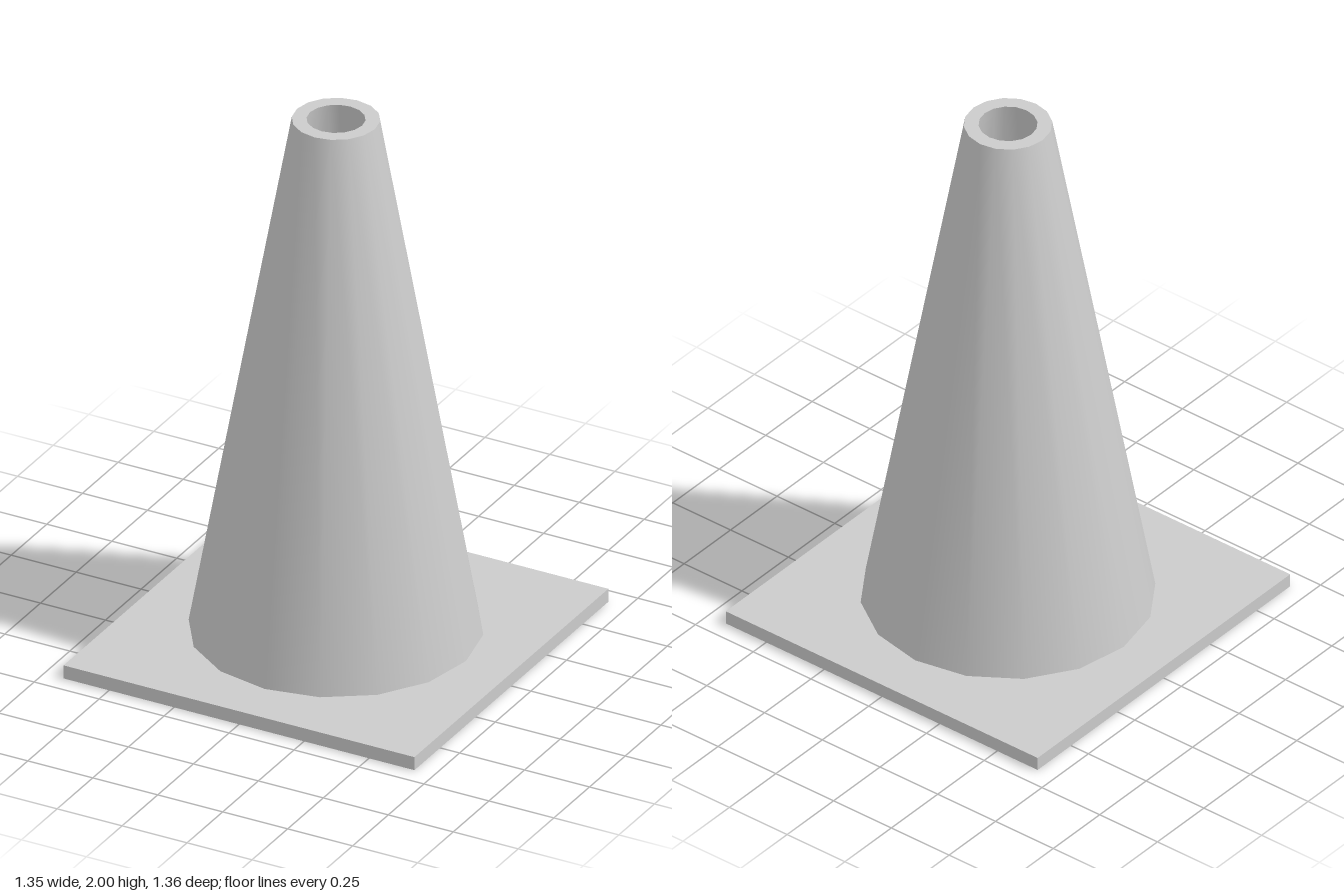
import * as THREE from 'three';
import { toCreasedNormals } from 'three/addons/utils/BufferGeometryUtils.js';

const SIDES = 16;
const BASE_HEIGHT = 0.05;
const HOLE_RADIUS = 0.445;

export function createModel() {
  const group = new THREE.Group();
  group.name = 'trafficCone';
  const material = new THREE.MeshStandardMaterial({ color: 0xcccccc });

  // Hollow cone: outer wall up, flat rim, inner wall down to the ground
  const profile = [
    [0.5, BASE_HEIGHT], [0.15, 2], [0.1, 2], [HOLE_RADIUS, 0],
  ].map(([r, y]) => new THREE.Vector2(r, y));
  const coneGeometry = toCreasedNormals(new THREE.LatheGeometry(profile, SIDES), Math.PI / 5);
  const cone = new THREE.Mesh(coneGeometry, material);
  cone.name = 'coneBody';
  group.add(cone);

  // Flat rectangular base plate, open under the cone
  const w = 0.675, d = 0.68;
  const plate = new THREE.Shape([
    new THREE.Vector2(-w, -d), new THREE.Vector2(w, -d),
    new THREE.Vector2(w, d), new THREE.Vector2(-w, d),
  ]);
  plate.holes.push(new THREE.Path().absarc(0, 0, HOLE_RADIUS, 0, Math.PI * 2, true));
  const plateGeometry = new THREE.ExtrudeGeometry(plate, {
    depth: BASE_HEIGHT, bevelEnabled: false, curveSegments: SIDES / 2,
  });
  plateGeometry.rotateX(-Math.PI / 2);
  const base = new THREE.Mesh(plateGeometry, material);
  base.name = 'basePlate';
  group.add(base);

  return group;
}
